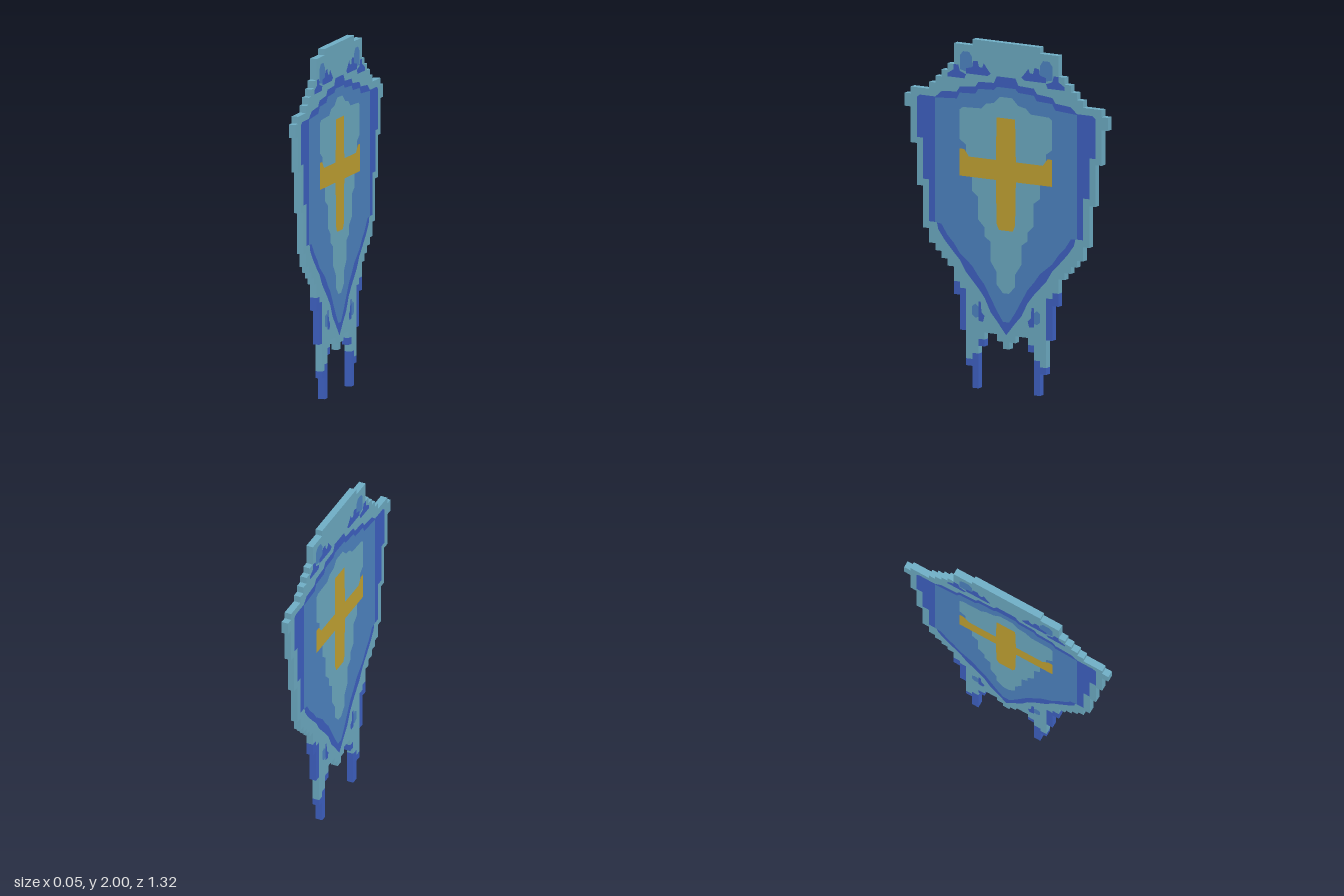
import * as THREE from 'three';

const T = 0.02; // half thickness of the panel

const mat = (name, color) => new THREE.MeshStandardMaterial({ name, color });

// [halfWidth, bottomY] steps -> staircase points running downwards
function stairs(top, steps) {
  let y = top;
  return steps.flatMap(([w, bottom]) => {
    const pts = [[w, y], [w, bottom]];
    y = bottom;
    return pts;
  });
}

const flip = (pts) => pts.map(([z, y]) => [-z, y]).reverse();
const toShape = (pts) => new THREE.Shape(pts.map(([z, y]) => new THREE.Vector2(z, y)));
// Half outline mirrored about z = 0
const whole = (half) => toShape([...half, ...flip(half)]);
// The same small patch on both halves
const pair = (pts) => [toShape(pts), toShape(flip(pts))];

export function createModel() {
  const group = new THREE.Group();
  const teal = mat('pale teal', 0x70b0c8);
  const mid = mat('mid blue', 0x5088c8);
  const dark = mat('dark blue', 0x4064c8);
  const gold = mat('gold', 0xc8a834);

  // Full-thickness slab lying in the YZ plane
  function slab(name, shapes, material) {
    const g = new THREE.ExtrudeGeometry(shapes, { depth: 2 * T, bevelEnabled: false });
    g.translate(0, 0, -T).rotateY(-Math.PI / 2);
    const m = new THREE.Mesh(g, material);
    m.name = name;
    group.add(m);
  }

  // Painted face on both sides of the panel, stacked by layer
  function paint(name, shapes, material, layer) {
    const part = new THREE.Group();
    part.name = name;
    for (const side of [1, -1]) {
      const g = new THREE.ShapeGeometry(shapes);
      g.rotateY(side * Math.PI / 2).translate(side * (T + 0.001 * layer), 0, 0);
      const m = new THREE.Mesh(g, material);
      m.name = name + (side > 0 ? 'Left' : 'Right');
      part.add(m);
    }
    group.add(part);
  }

  // Stepped shield body with its two hanging tails
  slab('shieldBody', whole([
    ...stairs(2, [
      [0.22, 1.965], [0.34, 1.845], [0.38, 1.805], [0.42, 1.765], [0.46, 1.725],
      [0.5, 1.685], [0.62, 1.645], [0.66, 1.57], [0.62, 1.365], [0.58, 1.125],
      [0.54, 0.885], [0.5, 0.803], [0.46, 0.763], [0.42, 0.723], [0.38, 0.683],
      [0.34, 0.6], [0.3, 0.565], [0.26, 0.165],
    ]),
    [0.22, 0.165], [0.22, 0.2], [0.18, 0.2], [0.18, 0.285], [0.14, 0.285], [0.14, 0.325],
    [0.06, 0.325], [0.06, 0.285], [0.02, 0.285], [0.02, 0.245],
  ]), teal);

  // Dark straps, tail tips and notches, coloured through the thickness
  slab('sideStraps', pair([
    [0.34, 0.6], [0.3, 0.6], [0.3, 0.565], [0.26, 0.565],
    [0.26, 0.325], [0.3, 0.325], [0.3, 0.525], [0.34, 0.525],
  ]), dark);
  slab('tailTips', pair([
    [0.26, 0.165], [0.22, 0.165], [0.22, 0.2], [0.18, 0.2],
    [0.18, 0], [0.22, 0], [0.22, 0.125], [0.26, 0.125],
  ]), dark);
  slab('tailNotches', pair([[0.18, 0.285], [0.18, 0.245], [0.14, 0.245], [0.14, 0.285]]), dark);

  // Dark border of the shield field
  paint('border', whole([
    [0.06, 1.805], [0.08, 1.765], [0.18, 1.76], [0.2, 1.73], [0.3, 1.72], [0.32, 1.69],
    [0.42, 1.68], [0.46, 1.645], [0.56, 1.645], [0.58, 1.63], [0.58, 1.4], [0.54, 1.4],
    [0.54, 1.165], [0.5, 1.165], [0.5, 0.925], [0.45, 0.925], [0.44, 0.885], [0.4, 0.83],
    [0.34, 0.765], [0.3, 0.725], [0.26, 0.66], [0.18, 0.575], [0.14, 0.525],
    [0.1, 0.445], [0.06, 0.4], [0, 0.325],
  ]), dark, 1);

  // Mid-blue field
  paint('field', whole([
    [0.06, 1.745], [0.08, 1.725], [0.18, 1.72], [0.2, 1.69], [0.3, 1.685], [0.32, 1.65],
    [0.46, 1.64], [0.46, 0.925], [0.42, 0.92], [0.38, 0.86], [0.34, 0.82], [0.3, 0.765],
    [0.22, 0.7], [0.18, 0.645], [0.14, 0.6], [0.1, 0.53], [0.06, 0.46], [0.02, 0.4],
  ]), mid, 2);

  // Pale inner panel tapering to a point
  paint('innerPanel', whole([
    [0.04, 1.69], [0.08, 1.65], [0.13, 1.64], [0.16, 1.61], [0.28, 1.605], [0.3, 1.59],
    [0.3, 1.42], [0.26, 1.39], [0.26, 1.25], [0.22, 1.21], [0.22, 1.13], [0.18, 1.1],
    [0.18, 0.97], [0.14, 0.93], [0.14, 0.88], [0.1, 0.85], [0.1, 0.74], [0.06, 0.68],
    [0.06, 0.61], [0.02, 0.565],
  ]), teal, 3);

  // Gold cross with raised arm tips
  paint('cross', whole([
    [0.06, 1.57], [0.065, 1.325], [0.24, 1.325], [0.27, 1.365], [0.3, 1.365], [0.3, 1.21],
    [0.065, 1.21], [0.06, 0.96], [0.045, 0.925],
  ]), gold, 4);

  // Small ornaments near the crown
  paint('crownLight', pair([
    [0.3, 1.82], [0.3, 1.9], [0.28, 1.925], [0.24, 1.925], [0.22, 1.895], [0.22, 1.83], [0.26, 1.81],
  ]), mid, 1);
  paint('crownDarkOuter', pair([
    [0.38, 1.77], [0.38, 1.79], [0.34, 1.815], [0.34, 1.845], [0.31, 1.845], [0.3, 1.81],
    [0.26, 1.795], [0.27, 1.77],
  ]), dark, 2);
  paint('crownDarkInner', pair([
    [0.26, 1.8], [0.26, 1.83], [0.22, 1.84], [0.215, 1.875], [0.185, 1.88], [0.175, 1.845],
    [0.155, 1.845], [0.145, 1.87], [0.125, 1.845], [0.1, 1.815], [0.12, 1.8],
  ]), dark, 2);

  // Small ornaments above the tails
  paint('tailLight', pair([
    [0.22, 0.42], [0.22, 0.47], [0.2, 0.485], [0.18, 0.47], [0.18, 0.41], [0.2, 0.405],
  ]), mid, 1);
  paint('tailDark', pair([
    [0.18, 0.39], [0.18, 0.5], [0.165, 0.5], [0.16, 0.44], [0.14, 0.42], [0.15, 0.385],
  ]), dark, 1);

  return group;
}
